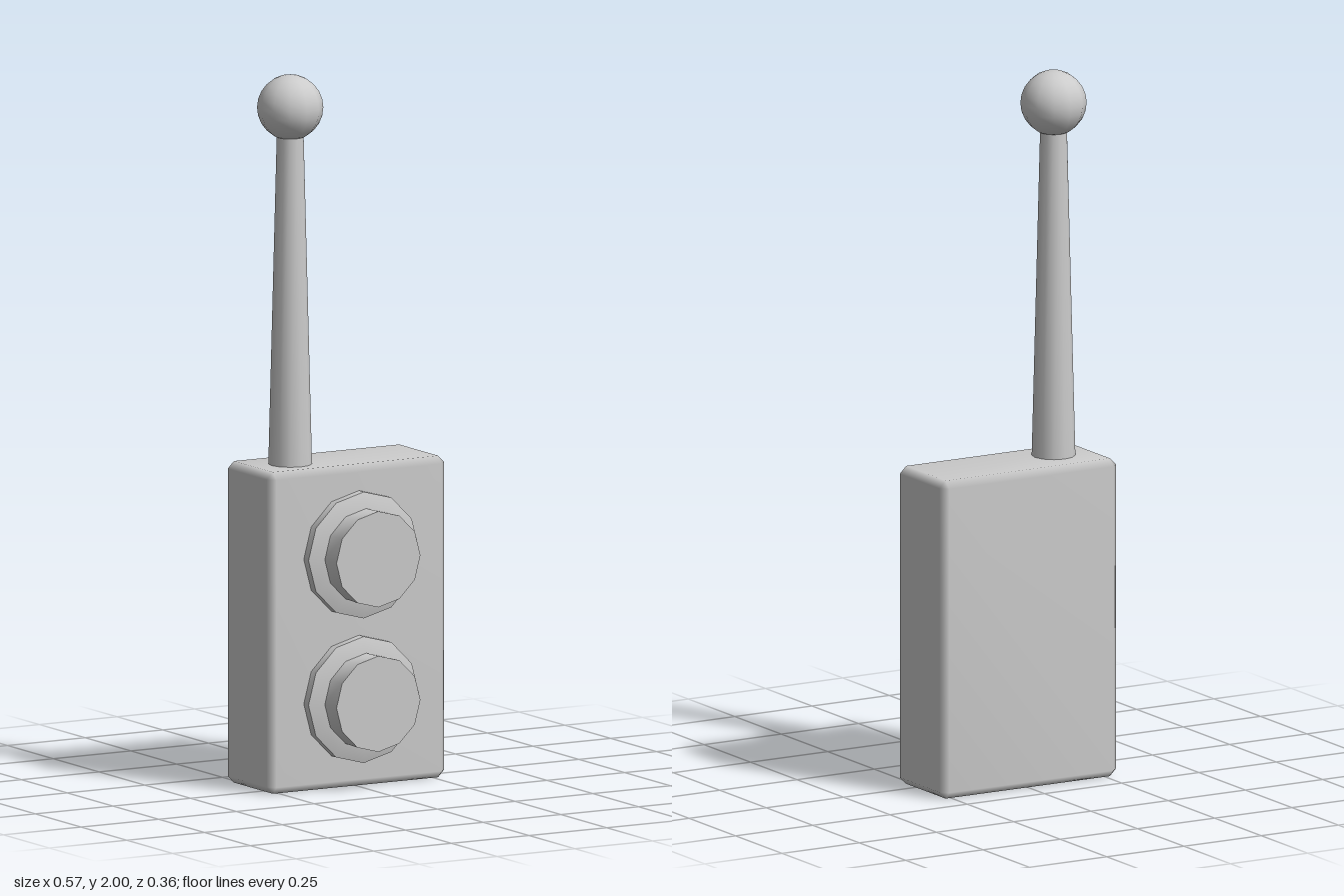
import * as THREE from 'three';
import { mergeVertices, toCreasedNormals } from 'three/addons/utils/BufferGeometryUtils.js';
import { ConvexGeometry } from 'three/addons/geometries/ConvexGeometry.js';

const material = new THREE.MeshStandardMaterial({ color: 0xcccccc });

function addPart(parent, name, geometry, x, y, z) {
  const mesh = new THREE.Mesh(geometry, material);
  mesh.name = name;
  mesh.position.set(x, y, z);
  parent.add(mesh);
  return mesh;
}

// Box with single-step chamfers and normals smoothed over all edges
function chamferBox(w, h, d, c) {
  const points = [];
  for (const sx of [-1, 1]) for (const sy of [-1, 1]) for (const sz of [-1, 1]) {
    for (let axis = 0; axis < 3; axis++) {
      const half = [w / 2, h / 2, d / 2].map((v, i) => (i === axis ? v : v - c));
      points.push(new THREE.Vector3(sx * half[0], sy * half[1], sz * half[2]));
    }
  }
  const hull = new ConvexGeometry(points);
  hull.deleteAttribute('normal');
  const geometry = mergeVertices(hull, 1e-4);
  geometry.computeVertexNormals();
  return geometry;
}

// Round 12-sided part turned to face +z; profile is [radius, depth] pairs
function turned(profile) {
  const lathe = new THREE.LatheGeometry(profile.map(([r, z]) => new THREE.Vector2(r, z)), 12);
  lathe.rotateX(Math.PI / 2);
  return toCreasedNormals(lathe, 0.6);
}

export function createModel() {
  const model = new THREE.Group();
  model.name = 'remoteControl';

  // Case
  addPart(model, 'case', chamferBox(0.572, 0.905, 0.252, 0.02), 0, 0.4525, -0.054);

  // Two stacked buttons, each with a bevelled collar and a slightly flared cap
  for (const [name, y] of [['upperButton', 0.655], ['lowerButton', 0.248]]) {
    const button = new THREE.Group();
    button.name = name;
    button.position.set(0, y, 0.072);
    addPart(button, 'collar', turned([[0.178, -0.01], [0.178, 0.026], [0.134, 0.039], [0, 0.039]]), 0, 0, 0);
    addPart(button, 'cap', turned([[0.133, 0.03], [0.135, 0.106], [0, 0.106]]), 0, 0, 0);
    model.add(button);
  }

  // Tapered antenna with a ball tip
  const antenna = new THREE.Group();
  antenna.name = 'antenna';
  antenna.position.set(-0.154, 0, -0.043);
  addPart(antenna, 'rod', new THREE.CylinderGeometry(0.037, 0.061, 0.95, 12), 0, 1.365, 0);
  addPart(antenna, 'ballTip', new THREE.SphereGeometry(0.092, 12, 12), 0, 1.908, 0);
  model.add(antenna);

  return model;
}
